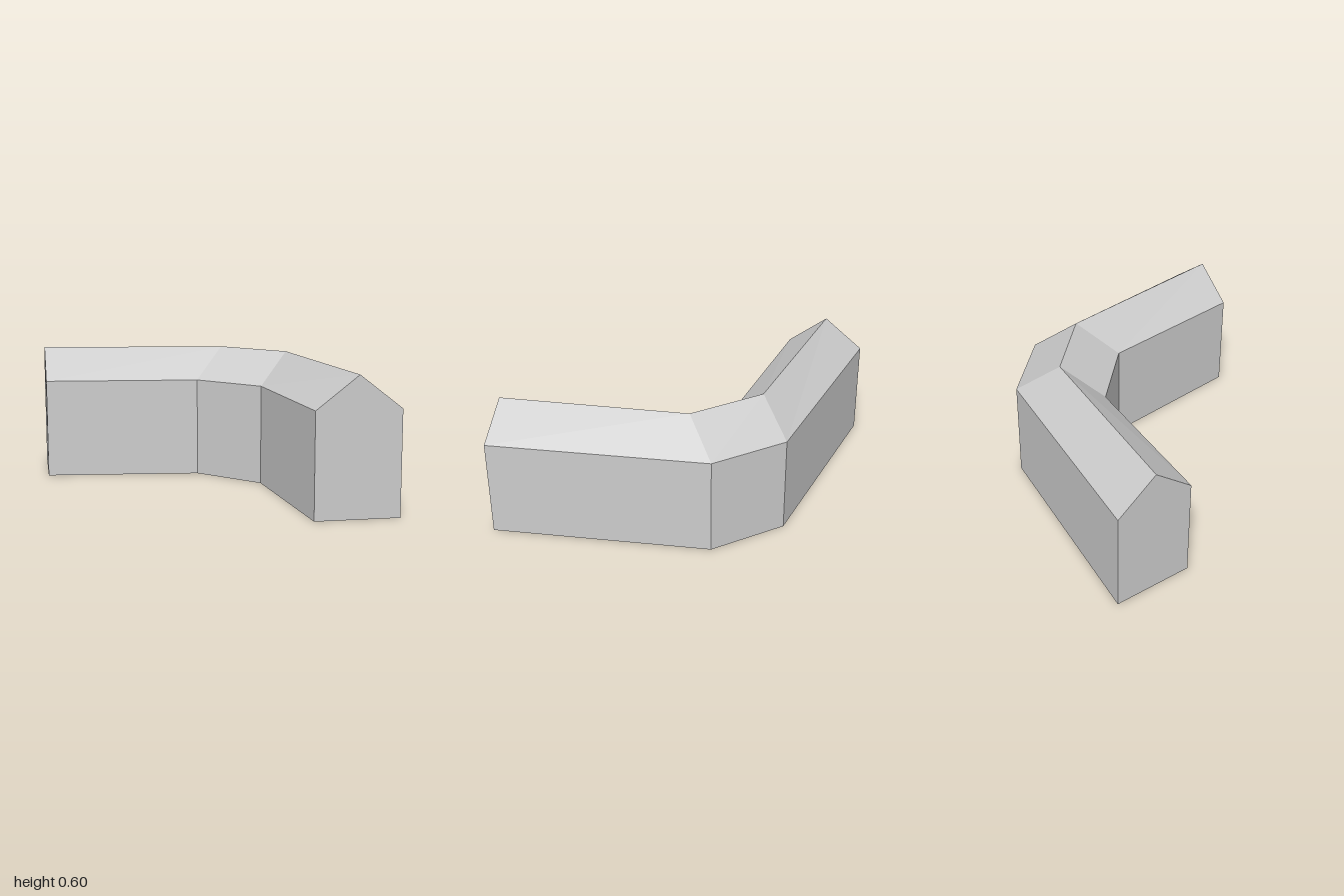
import * as THREE from 'three';

const EAVE = 0.457, RIDGE = 0.6;

// Five-point gabled cross-section: inner wall, inner eave, ridge, outer eave, outer wall
function section([ix, iz], [rx, rz], [ox, oz]) {
  return [[ix, 0, iz], [ix, EAVE, iz], [rx, RIDGE, rz], [ox, EAVE, oz], [ox, 0, oz]];
}

export function createModel() {
  const model = new THREE.Group();
  model.name = 'angledBuilding';
  const material = new THREE.MeshStandardMaterial({ color: 0xcccccc, flatShading: true });

  // Each polygon is a convex counter-clockwise loop of corners
  function addPart(name, polygons) {
    const positions = [];
    for (const p of polygons) {
      for (let i = 1; i < p.length - 1; i++) positions.push(...p[0], ...p[i], ...p[i + 1]);
    }
    const geometry = new THREE.BufferGeometry();
    geometry.setAttribute('position', new THREE.Float32BufferAttribute(positions, 3));
    geometry.computeVertexNormals();
    const mesh = new THREE.Mesh(geometry, material);
    mesh.name = name;
    model.add(mesh);
  }

  // Sections from the right end to the left end, mirrored about x = 0
  const end = section([0.74, 0.43], [0.87, 0.302], [1, 0.172]);
  const bend = section([0.183, -0.02], [0.187, -0.225], [0.19, -0.43]);
  const mirror = (s) => s.map(([x, y, z]) => [-x, y, z]);
  const sections = [mirror(end), mirror(bend), bend, end];

  // Walls, roof slopes and floor of the three wings
  ['rightWing', 'middleWing', 'leftWing'].forEach((wing, w) => {
    const a = sections[w], b = sections[w + 1];
    const side = (k) => [a[k], b[k], b[(k + 1) % 5], a[(k + 1) % 5]];
    addPart(wing + 'Walls', [side(0), side(3)]);
    addPart(wing + 'Roof', [side(1), side(2)]);
    addPart(wing + 'Floor', [side(4)]);
  });

  // Gable walls closing both ends
  addPart('rightGable', [sections[0]]);
  addPart('leftGable', [[...sections[3]].reverse()]);

  return model;
}
